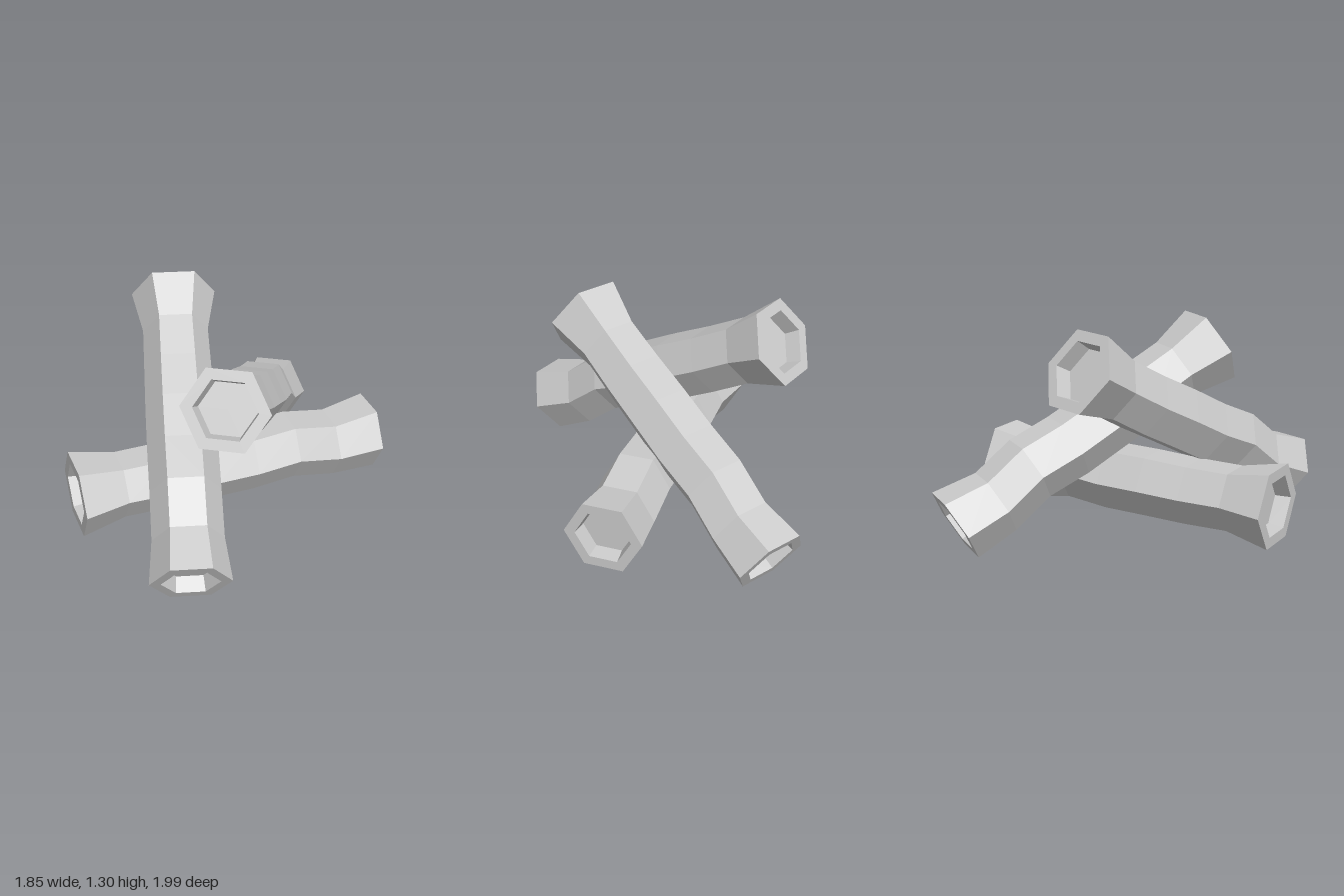
import * as THREE from 'three';

const LENGTH = 1.85;
// Ring radii from the thick end to the thin end, and how far each ring wanders upwards
const RADII = [0.248, 0.191, 0.195, 0.199, 0.2, 0.198, 0.199, 0.224];
const WANDER = [0, 0, -0.005, 0, 0, 0.021, -0.027, 0];
const RECESS = 0.09;

// Six-sided log along y with a recessed hollow in both ends
function makeLogGeometry() {
  const last = RADII.length - 1;
  const half = LENGTH / 2;
  const profile = [];
  const shift = [];
  const add = (r, y, s = 0) => {
    profile.push(new THREE.Vector2(r, y));
    shift.push(s);
  };

  // Thick end: floor, hollow wall, rim
  add(0, -half + RECESS);
  add(RADII[0] * 0.66, -half + RECESS);
  add(RADII[0] * 0.72, -half);
  // Outer bark
  RADII.forEach((r, i) => add(r, -half + (LENGTH * i) / last, WANDER[i]));
  // Thin end: rim, hollow wall, floor
  add(RADII[last] * 0.72, half);
  add(RADII[last] * 0.66, half - RECESS);
  add(0, half - RECESS);

  const geometry = new THREE.LatheGeometry(profile, 6);
  const pos = geometry.attributes.position;
  for (let i = 0; i < pos.count; i++) {
    pos.setX(i, pos.getX(i) + shift[i % profile.length]);
  }
  const flat = geometry.toNonIndexed();
  flat.computeVertexNormals();
  return flat;
}

export function createModel() {
  const group = new THREE.Group();
  group.name = 'logPile';
  const geometry = makeLogGeometry();
  const material = new THREE.MeshStandardMaterial({ color: 0xcccccc, flatShading: true });

  // Each log runs from its thick end to its thin end, with a flat side up
  const logs = [
    ['crosswiseLog', [-0.925, 0.314, -0.005], [0.925, 0.314, -0.005]],
    ['leaningLogToBack', [-0.08, 1.115, -0.695], [-0.54, 0.245, 0.88]],
    ['leaningLogToFront', [-0.21, 1.045, 0.525], [0.645, 0.174, -0.86]],
  ];
  for (const [name, from, to] of logs) {
    const a = new THREE.Vector3(...from);
    const b = new THREE.Vector3(...to);
    const axis = b.clone().sub(a).normalize();
    const up = new THREE.Vector3(0, 1, 0).addScaledVector(axis, -axis.y).normalize();
    const side = up.clone().cross(axis);
    const log = new THREE.Mesh(geometry, material);
    log.name = name;
    log.quaternion.setFromRotationMatrix(new THREE.Matrix4().makeBasis(up, axis, side));
    log.position.copy(a).add(b).multiplyScalar(0.5);
    group.add(log);
  }
  return group;
}
